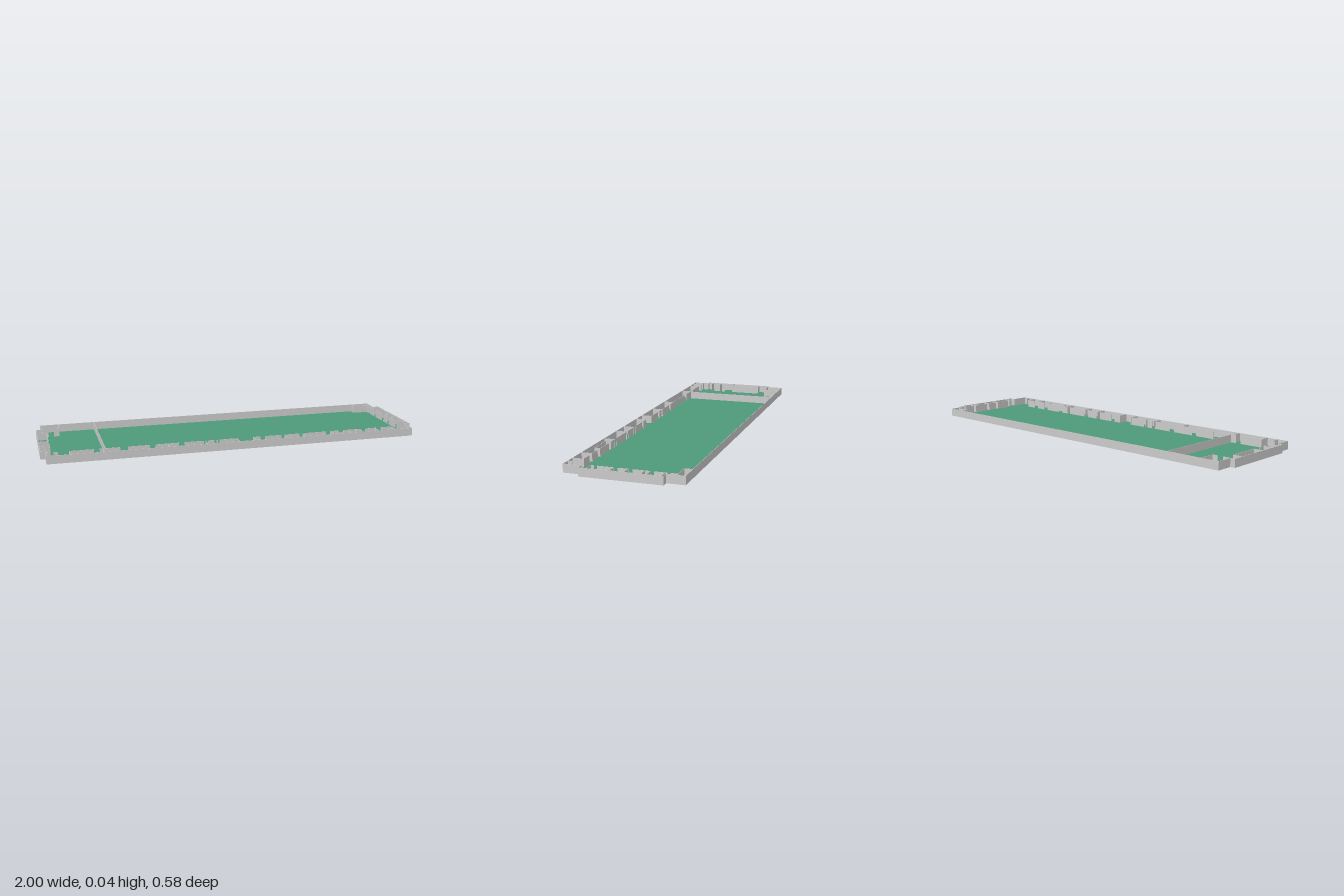
import * as THREE from 'three';

const H = 0.042; // wall height
const T = 0.002; // wall thickness
const wallMat = new THREE.MeshStandardMaterial({ color: 0xcccccc });
const floorMat = new THREE.MeshStandardMaterial({ color: 0x4f9a7a, side: THREE.DoubleSide });

// Upright wall between two plan points (x, z)
function wall(name, x1, z1, x2, z2) {
  const length = Math.hypot(x2 - x1, z2 - z1);
  const mesh = new THREE.Mesh(new THREE.BoxGeometry(length + T, H, T), wallMat);
  mesh.position.set((x1 + x2) / 2, H / 2, (z1 + z2) / 2);
  mesh.rotation.y = -Math.atan2(z2 - z1, x2 - x1);
  mesh.name = name;
  return mesh;
}

function wallGroup(name, partName, list) {
  const group = new THREE.Group();
  group.name = name;
  for (const w of list) group.add(wall(partName, ...w));
  return group;
}

export function createModel() {
  const model = new THREE.Group();
  model.name = 'floorPlan';

  // Outline: long hall with a shallow bay at each end
  const L = -0.974, R = 0.967, B = -0.289, F = 0.289, E = 0.999;
  const outline = [
    [L, B], [R, B], [R, -0.2], [E, -0.2], [E, 0.2], [R, 0.2],
    [R, F], [L, F], [L, 0.2], [-E, 0.2], [-E, -0.2], [L, -0.2],
  ];
  const shape = new THREE.Shape(outline.map(([x, z]) => new THREE.Vector2(x, -z)));
  const floor = new THREE.Mesh(new THREE.ShapeGeometry(shape), floorMat);
  floor.rotation.x = -Math.PI / 2;
  floor.position.y = 0.0005;
  floor.name = 'floor';
  model.add(floor);

  model.add(wallGroup('outerWalls', 'outerWall',
    outline.map((p, i) => [...p, ...outline[(i + 1) % outline.length]])));

  // Row of front rooms: corridor wall with door gaps, and partitions
  const C = 0.233;
  const corridor = [
    [L, -0.955], [-0.935, -0.92], [-0.86, -0.74], [-0.71, -0.61], [-0.57, -0.46],
    [-0.43, -0.31], [-0.28, -0.18], [-0.155, -0.125], [-0.095, -0.005],
    [0.085, 0.125], [0.15, 0.24], [0.27, 0.34], [0.37, 0.49], [0.52, 0.56],
    [0.59, 0.69], [0.72, 0.78], [0.81, 0.87],
  ];
  model.add(wallGroup('corridorWall', 'corridorSegment', corridor.map(([a, b]) => [a, C, b, C])));
  const partitions = [-0.92, -0.86, -0.695, -0.365, -0.17, 0, 0.085, 0.26, 0.36, 0.515, 0.775, 0.87];
  model.add(wallGroup('frontPartitions', 'partition', [
    ...partitions.map((x) => [x, C, x, F]),
    [-0.11, C, -0.11, 0.255], // alcove stubs
    [0.92, 0.265, 0.92, F],
    [0.555, 0.262, 0.685, 0.262],
    [0.555, C, 0.555, 0.262],
    [0.685, C, 0.685, 0.262],
  ]));

  // Cross wall dividing the hall
  model.add(wall('crossWall', -0.682, B, -0.682, 0.225));

  // Back left closet
  model.add(wallGroup('backCloset', 'closetWall', [
    [-0.877, B, -0.877, -0.2], [L, -0.2, -0.935, -0.2], [-0.905, -0.2, -0.877, -0.2],
  ]));

  // Rooms in the bay at the -x end
  model.add(wallGroup('rightBayRooms', 'bayWall', [
    [-0.948, -0.14, -0.948, 0.03],
    [-0.948, 0.08, -0.948, 0.1], [-0.948, 0.115, -0.948, 0.15],
    ...[-0.14, 0.03, 0.115, 0.17].map((z) => [-E, z, -0.948, z]),
  ]));

  // Rooms in the bay at the +x end
  const bayRuns = [[-0.25, -0.215], [-0.2, -0.14], [-0.12, -0.04], [-0.02, 0.03], [0.05, 0.13], [0.145, 0.16]];
  model.add(wallGroup('leftBayRooms', 'bayWall', [
    ...bayRuns.map(([a, b]) => [0.95, a, 0.95, b]),
    ...[-0.19, -0.122, -0.096, -0.017, 0.052, 0.16].map((z) => [0.95, z, E, z]),
    [0.867, -0.25, 0.95, -0.25], // back corner closet
    [0.867, B, 0.867, -0.25],
  ]));

  return model;
}
